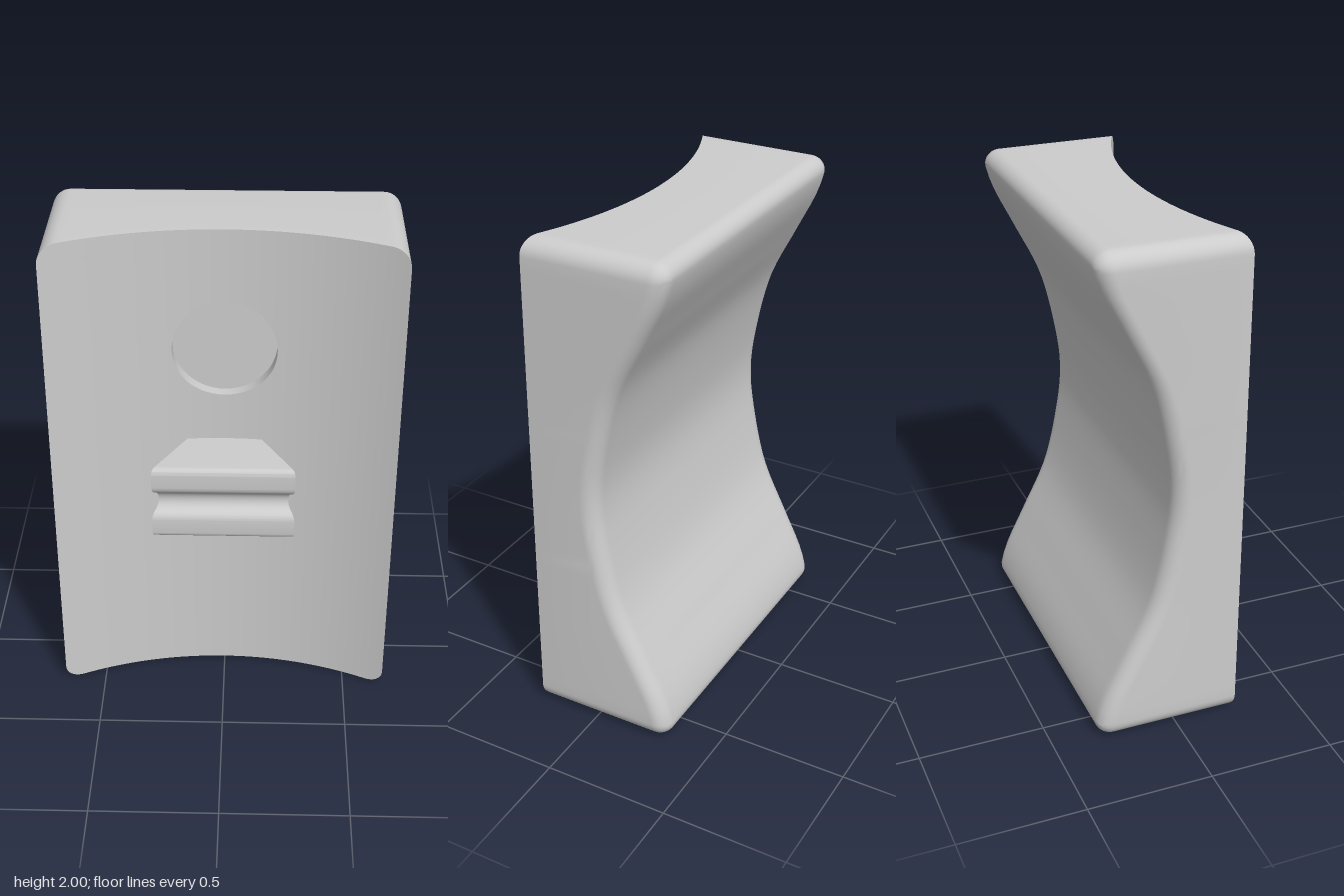
import * as THREE from 'three';
import { toCreasedNormals } from 'three/addons/utils/BufferGeometryUtils.js';

const HALF_W = 0.664, CORNER = 0.068, FILLET = 0.065;
const HOLE = new THREE.Vector2(0, 1.51), HOLE_R = 0.2, FLOOR_Z = 0.04;
const MIDDLE = new THREE.Vector2(0, 1);
const material = new THREE.MeshStandardMaterial({ color: 0xcccccc });

// Front face: hollow cylinder arc across x
const ARC = 1.415;
const frontZ = (x) => 0.085 + ARC - Math.sqrt(ARC * ARC - x * x);

// Back face: hollow S-shaped sweep, mirrored about mid height
const sweep = new THREE.SplineCurve([[-0.2, -0.042], [0, -0.02], [0.2, -0.042], [0.45, -0.102], [0.67, -0.206],
  [0.83, -0.285], [0.93, -0.318], [1.0, -0.324]].map(([d, z]) => new THREE.Vector2(d, z))).getPoints(210);
function backZ(y) {
  const d = Math.abs(y - 1);
  let i = 1;
  while (i < sweep.length - 1 && sweep[i].x < d) i++;
  const a = sweep[i - 1], b = sweep[i];
  return THREE.MathUtils.lerp(a.y, b.y, (d - a.x) / (b.x - a.x));
}

// Rounded rectangle, anticlockwise, moved inwards by inset
function outline(inset = 0) {
  const pts = [], r = CORNER - inset, cx = HALF_W - CORNER, cy = 1 - CORNER;
  const corners = [[1, 1], [-1, 1], [-1, -1], [1, -1]];
  corners.forEach(([sx, sy], k) => {
    const at = (q, a) => new THREE.Vector2(q[0] * cx + r * Math.cos(a), 1 + q[1] * cy + r * Math.sin(a));
    const start = k * Math.PI / 2;
    for (let i = 0; i < 8; i++) pts.push(at([sx, sy], start + i * Math.PI / 16));
    const end = start + Math.PI / 2, from = at([sx, sy], end), to = at(corners[(k + 1) % 4], end);
    for (let i = 0; i < 40; i++) pts.push(from.clone().lerp(to, i / 40));
  });
  return pts;
}

// Skin closed loops of points, skipping collapsed triangles
function loft(rings) {
  const pos = [], n = rings[0].length;
  const tri = (a, b, c) => {
    if (a.distanceTo(b) < 1e-6 || b.distanceTo(c) < 1e-6 || c.distanceTo(a) < 1e-6) return;
    for (const p of [a, b, c]) pos.push(p.x, p.y, p.z);
  };
  for (let i = 0; i < rings.length - 1; i++) {
    for (let j = 0; j < n; j++) {
      const k = (j + 1) % n;
      tri(rings[i][j], rings[i + 1][j], rings[i + 1][k]);
      tri(rings[i][j], rings[i + 1][k], rings[i][k]);
    }
  }
  const g = new THREE.BufferGeometry();
  g.setAttribute('position', new THREE.Float32BufferAttribute(pos, 3));
  return toCreasedNormals(g, 0.6);
}

function makeBody() {
  const rings = [];
  const add = (pts, zOf) => rings.push(pts.map((p) => new THREE.Vector3(p.x, p.y, zOf(p))));
  const rim = outline();
  const circle = rim.map((p) => p.clone().sub(HOLE).setLength(HOLE_R).add(HOLE));

  // Round recess: flat floor and wall
  add(rim.map(() => HOLE), () => FLOOR_Z);
  add(circle, () => FLOOR_Z);

  // Front face from the recess out to the edge
  for (let i = 0; i <= 24; i++) {
    add(circle.map((p, j) => p.clone().lerp(rim[j], i / 24)), (p) => frontZ(p.x));
  }

  // Sides and the rounded back edge
  for (let i = 0; i <= 8; i++) {
    const a = i * Math.PI / 16;
    add(outline(FILLET * (1 - Math.cos(a))), (p) => backZ(p.y) - FILLET * (Math.sin(a) - 1));
  }

  // Back face in to the middle
  const inner = outline(FILLET);
  for (let i = 1; i <= 40; i++) {
    add(inner.map((p) => p.clone().lerp(MIDDLE, i / 40)), (p) => backZ(p.y));
  }
  return loft(rings);
}

// Grooved block: side profile drawn in (z, y), flared towards the front
function makeGrip() {
  const s = new THREE.Shape();
  s.moveTo(0.05, 0.8);
  s.lineTo(0.295, 0.8);
  s.quadraticCurveTo(0.32, 0.8, 0.32, 0.825);
  s.lineTo(0.32, 0.875);
  s.quadraticCurveTo(0.32, 0.9, 0.302, 0.912);
  s.bezierCurveTo(0.268, 0.93, 0.268, 0.98, 0.302, 0.998);
  s.quadraticCurveTo(0.32, 1.01, 0.32, 1.035);
  s.lineTo(0.32, 1.085);
  s.quadraticCurveTo(0.32, 1.112, 0.293, 1.112);
  s.lineTo(0.05, 1.112);
  s.closePath();
  const g = new THREE.ExtrudeGeometry(s, { depth: 2, bevelEnabled: false, curveSegments: 10 });
  const p = g.attributes.position;
  for (let i = 0; i < p.count; i++) {
    const z = p.getX(i), halfWidth = 0.275 - 0.57 * (0.32 - z);
    p.setXYZ(i, (1 - p.getZ(i)) * halfWidth, p.getY(i), z);
  }
  return toCreasedNormals(g, 0.6);
}

export function createModel() {
  const model = new THREE.Group();
  model.name = 'curvedBlock';
  for (const [name, geometry] of [['body', makeBody()], ['groovedGrip', makeGrip()]]) {
    const mesh = new THREE.Mesh(geometry, material);
    mesh.name = name;
    model.add(mesh);
  }
  return model;
}
